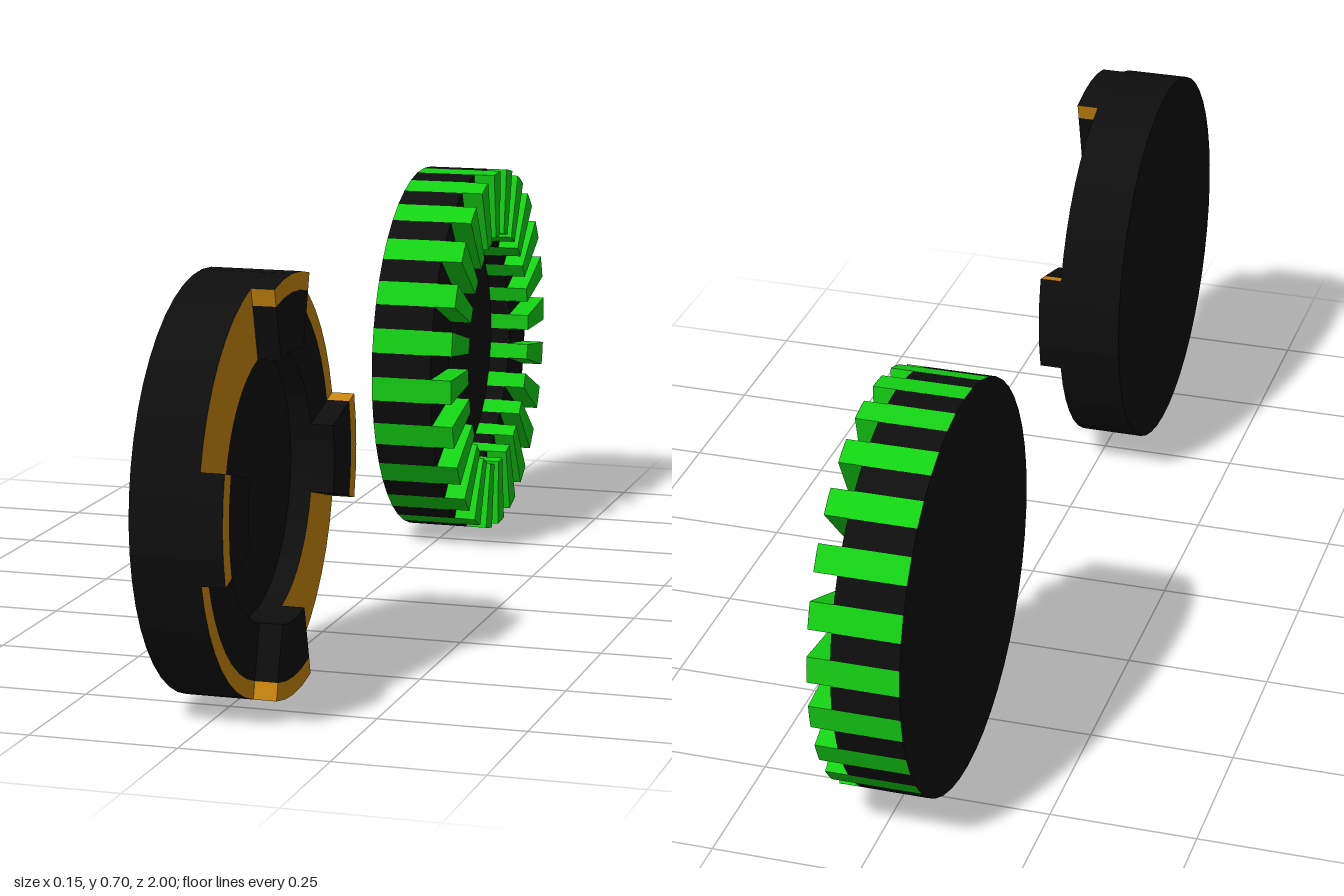
import * as THREE from 'three';
import { mergeGeometries } from 'three/addons/utils/BufferGeometryUtils.js';

const R = 0.35, RIM = 0.32, HOLE = 0.225;               // radii
const BACK = -0.077, FLOOR = 0, RING = 0.0375, TOP = 0.077; // levels along the axis
const STEP = 7.5;                                       // degrees per facet
const rad = THREE.MathUtils.degToRad;

const material = (color) =>
  new THREE.MeshStandardMaterial({ color, flatShading: true, side: THREE.DoubleSide });
const black = material(0x0e0e0e);
const green = material(0x14d214);
const orange = material(0xc8860f);

// Flat ring sector facing along the axis; angles are in degrees
function face(r0, r1, a0, a1, z) {
  return new THREE.RingGeometry(r0, r1, Math.round((a1 - a0) / STEP), 1, rad(a0), rad(a1 - a0))
    .translate(0, 0, z);
}

// Curved wall between two levels
function wall(r, a0, a1, z0, z1) {
  return new THREE.CylinderGeometry(r, r, z1 - z0, Math.round((a1 - a0) / STEP), 1, true,
    rad(a0 + 90), rad(a1 - a0)).rotateX(Math.PI / 2).translate(0, 0, (z0 + z1) / 2);
}

// Radial end of a tooth
function end(r0, r1, a) {
  return new THREE.PlaneGeometry(r1 - r0, TOP - RING).rotateX(Math.PI / 2)
    .translate((r0 + r1) / 2, 0, (RING + TOP) / 2).rotateZ(rad(a));
}

const disc = (r, z) => new THREE.CircleGeometry(r, 48).translate(0, 0, z);

function part(name, geometries, mat) {
  const mesh = new THREE.Mesh(mergeGeometries(geometries), mat);
  mesh.name = name;
  return mesh;
}

// Wheel with a crown of narrow teeth
function toothedWheel() {
  const teeth = [], body = [disc(R, BACK), disc(HOLE, FLOOR)];
  for (let a = 0; a < 360; a += 2 * STEP) {
    const b = a + STEP, c = b + STEP;
    teeth.push(face(HOLE, R, a, b, TOP), wall(R, a, b, BACK, TOP), wall(HOLE, a, b, FLOOR, TOP),
      end(HOLE, R, a), end(HOLE, R, b));
    body.push(face(HOLE, R, b, c, RING), wall(R, b, c, BACK, RING), wall(HOLE, b, c, FLOOR, RING));
  }
  const group = new THREE.Group();
  group.name = 'toothedWheel';
  group.add(part('toothedWheelBody', body, black), part('teeth', teeth, green));
  return group;
}

// Wheel with four broad lugs and a coloured rim
function luggedWheel() {
  const trim = [];
  const body = [disc(R, BACK), disc(HOLE, FLOOR), wall(R, 0, 360, BACK, RING),
    wall(HOLE, 0, 360, FLOOR, RING)];
  const lugs = [];
  for (let i = 0; i < 4; i++) {
    const a = i * 90 - 15, b = a + 30, c = a + 90;
    // lug
    lugs.push(face(HOLE, RIM, a, b, TOP), wall(R, a, b, RING, TOP), wall(HOLE, a, b, RING, TOP));
    trim.push(face(RIM, R, a, b, TOP));
    for (const e of [a, b]) {
      lugs.push(end(HOLE, RIM, e));
      trim.push(end(RIM, R, e));
    }
    // gap after the lug; every second one is coloured across its full width
    trim.push(face(RIM, R, b, c, RING));
    (i % 2 ? trim : body).push(face(HOLE, RIM, b, c, RING));
  }
  const group = new THREE.Group();
  group.name = 'luggedWheel';
  group.add(part('luggedWheelBody', body, black), part('lugs', lugs, black),
    part('rimTrim', trim, orange));
  return group;
}

export function createModel() {
  const model = new THREE.Group();
  model.name = 'coupling';
  [[luggedWheel(), 0.65], [toothedWheel(), -0.65]].forEach(([wheel, z]) => {
    wheel.rotation.y = Math.PI / 2;
    wheel.position.set(0, R, z);
    model.add(wheel);
  });
  return model;
}
